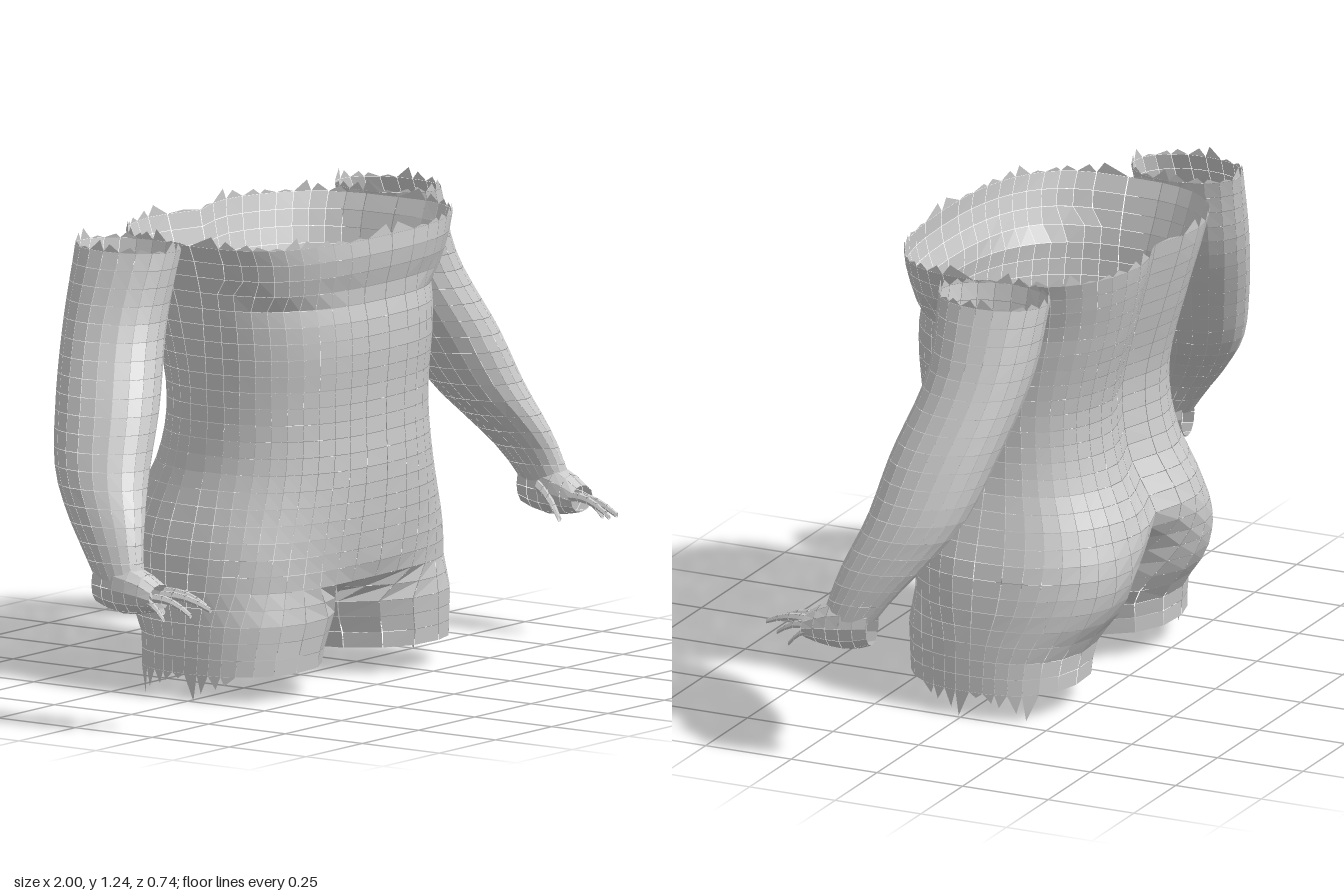
import * as THREE from 'three';

const V = (x, y, z) => new THREE.Vector3(x, y, z);
const { smoothstep, lerp } = THREE.MathUtils;
const spow = (v, e) => Math.sign(v) * Math.abs(v) ** e;
const material = new THREE.MeshStandardMaterial({ color: 0xcccccc, flatShading: true, side: THREE.DoubleSide });

// Smooth lookup in a table whose first column is the parameter
function profile(rows) {
  const size = rows[0].length - 1;
  const curve = new THREE.CubicInterpolant(rows.map(r => r[0]), rows.flatMap(r => r.slice(1)), size, new Float32Array(size));
  return t => Array.from(curve.evaluate(t));
}

// Separate flat panels over a grid of points, each drawn in slightly to leave a seam
function panels(name, point, cols, rows, { shrink = 0.97, fringe = [] } = {}) {
  const pos = [];
  const tri = (a, b, c) => [a, b, c].forEach(p => pos.push(p.x, p.y, p.z));
  for (let i = 0; i < rows; i++) for (let j = 0; j < cols; j++) {
    const q = [[j, i], [j + 1, i], [j + 1, i + 1], [j, i + 1]].map(([u, v]) => point(u / cols, v / rows));
    const mid = q.reduce((s, p) => s.add(p), V(0, 0, 0)).divideScalar(4);
    q.forEach(p => p.lerp(mid, 1 - shrink));
    tri(q[0], q[1], q[2]);
    tri(q[0], q[2], q[3]);
  }
  // Ragged points along part of an open edge: [edge v, vertical reach, from u, to u]
  for (const [v, reach, u0, u1] of fringe) for (let j = Math.round(u0 * cols); j < u1 * cols; j++) {
    const a = point(j / cols, v), b = point((j + 1) / cols, v);
    const tip = a.clone().lerp(b, 0.25 + 0.5 * ((j * 7 % 5) / 4));
    tip.y += reach * [1, 0.35, 0.7, 0.2, 0.5][j * 3 % 5];
    reach > 0 ? tri(a, b, tip) : tri(b, a, tip);
  }
  const geo = new THREE.BufferGeometry();
  geo.setAttribute('position', new THREE.Float32BufferAttribute(pos, 3));
  geo.computeVertexNormals();
  const mesh = new THREE.Mesh(geo, material);
  mesh.name = name;
  return mesh;
}

// Torso: y, half width, front z, back z, depth of the groove along the spine
const torso = profile([
  [0.07, 0.49, 0.22, -0.25, 0],
  [0.17, 0.485, 0.232, -0.265, 0],
  [0.23, 0.48, 0.242, -0.315, 0],
  [0.30, 0.475, 0.255, -0.362, 0],
  [0.40, 0.46, 0.27, -0.388, 0.03],
  [0.50, 0.43, 0.28, -0.365, 0.055],
  [0.60, 0.40, 0.284, -0.315, 0.06],
  [0.70, 0.387, 0.28, -0.288, 0.055],
  [0.80, 0.388, 0.282, -0.284, 0.055],
  [0.90, 0.395, 0.29, -0.304, 0.055],
  [1.00, 0.405, 0.285, -0.332, 0.055],
  [1.05, 0.41, 0.275, -0.345, 0.055],
  [1.10, 0.425, 0.288, -0.358, 0.055],
  [1.15, 0.44, 0.30, -0.37, 0.055],
  [1.205, 0.465, 0.298, -0.38, 0.055],
]);

// Half a torso ring that pinches into a closed leg ring further down
function bodyPoint(u, v) {
  const y = lerp(0.07, 1.205, v);
  const [w, zf, zb, groove] = torso(y);
  const zm = -0.02;
  const s = Math.sin(Math.PI * u), c = Math.cos(Math.PI * u);
  // The chest overhangs the ribs along a crease that is highest at the breastbone
  const crease = 1.1 - 0.065 * smoothstep(s, 0.2, 0.5) + 0.05 * smoothstep(s, 0.85, 1);
  const waist = smoothstep(y, 0.3, 0.6);
  const e = c > 0
    ? 0.76 + 0.13 * waist - 0.25 * smoothstep(y, crease, crease + 0.04)
    : 0.74 + 0.06 * waist - 0.15 * smoothstep(y, 0.8, 1.15);
  const x0 = w * s ** 0.78;
  const z0 = zm + (c > 0 ? zf - zm : zm - zb) * spow(c, e)
    + (c < 0 ? groove * Math.exp(-((x0 / 0.1) ** 2)) : 0);
  // Leg ring, starting and ending at the inner thigh
  const gap = 0.05 * (1 - smoothstep(y, 0.07, 0.23));
  const a = 2 * Math.PI * (u + 0.1 * Math.sin(2 * Math.PI * u));
  const sa = Math.sin(a), ca = Math.cos(a), el = ca > 0 ? 1 : 0.8;
  const x1 = (w + gap) / 2 - (w - gap) / 2 * spow(ca, el);
  const z1 = zm + (sa > 0 ? zf - zm : zm - zb) * spow(sa, el);
  const k = lerp(1 - smoothstep(y, 0.19, 0.3), 1 - smoothstep(y, 0.2, 0.48), u);
  return V(lerp(x0, x1, k), y, lerp(z0, z1, k));
}

// Arm: y, centre x, centre z, half width, half depth
const arm = profile([
  [0.40, 0.945, 0.105, 0.048, 0.075],
  [0.47, 0.93, 0.07, 0.055, 0.092],
  [0.54, 0.90, 0.03, 0.072, 0.112],
  [0.65, 0.838, -0.03, 0.105, 0.132],
  [0.81, 0.755, -0.075, 0.122, 0.145],
  [1.02, 0.645, -0.13, 0.124, 0.143],
  [1.21, 0.577, -0.137, 0.11, 0.155],
]);
function armPoint(u, v) {
  const y = lerp(0.40, 1.21, v), a = 2 * Math.PI * u;
  const [x, z, rx, rz] = arm(y);
  return V(x + rx * Math.sin(a), y, z + rz * Math.cos(a));
}

// Palm: z, centre x, centre y, half width, half height
const palm = profile([
  [0.04, 0.945, 0.385, 0.04, 0.055],
  [0.10, 0.945, 0.38, 0.052, 0.07],
  [0.17, 0.942, 0.372, 0.054, 0.06],
  [0.23, 0.938, 0.36, 0.048, 0.035],
]);
function palmPoint(u, v) {
  const z = lerp(0.04, 0.23, v), a = 2 * Math.PI * u;
  const [x, y, rx, ry] = palm(z);
  return V(x + rx * Math.cos(a), y + ry * Math.sin(a), z);
}

// Tapering digit between two points
function digit(name, from, to, r) {
  return panels(name, (u, v) => {
    const a = 2 * Math.PI * u, R = r * (1 - 0.5 * v);
    const p = V(...from).lerp(V(...to), v);
    p.y += 0.012 * Math.sin(Math.PI * v);
    return p.add(V(R * Math.cos(a), R * Math.sin(a), 0));
  }, 6, 4, { shrink: 0.93 });
}

function createSide() {
  const side = new THREE.Group();
  side.add(
    panels('torsoHalf', bodyPoint, 22, 26, { fringe: [[1, 0.03, 0, 1], [0, -0.07, 0.3, 0.72]] }),
    panels('arm', armPoint, 20, 18, { fringe: [[1, 0.03, 0, 1]] }),
    panels('palm', palmPoint, 12, 5, { shrink: 0.95 }),
    digit('thumb', [0.895, 0.39, 0.12], [0.88, 0.31, 0.2], 0.017),
    digit('indexFinger', [0.90, 0.37, 0.22], [0.885, 0.34, 0.345], 0.014),
    digit('middleFinger', [0.925, 0.365, 0.225], [0.902, 0.335, 0.37], 0.014),
    digit('ringFinger', [0.95, 0.36, 0.22], [0.93, 0.32, 0.325], 0.013),
    digit('littleFinger', [0.975, 0.355, 0.2], [0.975, 0.31, 0.27], 0.012),
  );
  return side;
}

export function createModel() {
  const model = new THREE.Group();
  model.name = 'torsoFigure';
  const left = createSide(), right = createSide();
  left.name = 'leftSide';
  right.name = 'rightSide';
  right.scale.x = -1;
  model.add(left, right);
  return model;
}
